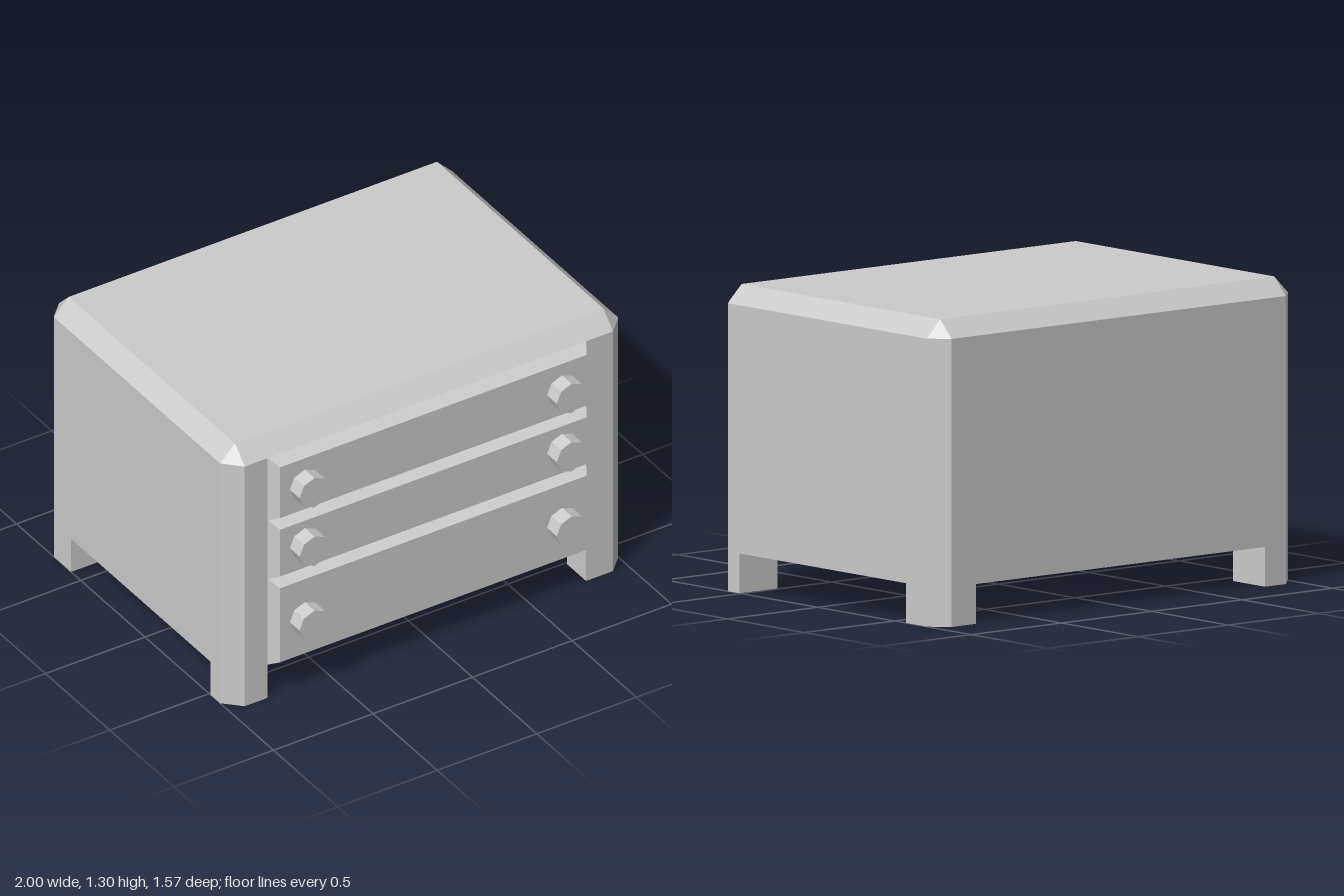
import * as THREE from 'three';
import { ConvexGeometry } from 'three/addons/geometries/ConvexGeometry.js';

const BACK = -0.785, FRONT = 0.66, TOP = 1.305, UNDER = 0.17, BEVEL = 0.075;
const DRAWER_FACE = 0.71, KNOB_FACE = 0.785;

const material = new THREE.MeshStandardMaterial({ color: 0xcccccc, flatShading: true });

function addPart(parent, name, geometry) {
  const mesh = new THREE.Mesh(geometry, material);
  mesh.name = name;
  parent.add(mesh);
  return mesh;
}

// Solid hull from a list of [x, y, z] corners
const solid = (points) => new ConvexGeometry(points.map((p) => new THREE.Vector3(...p)));

// Rectangle corners at a fixed depth z
const rectXY = (x0, x1, y0, y1, z) => [[x0, y0, z], [x1, y0, z], [x1, y1, z], [x0, y1, z]];

// Cabinet box with bevelled upright and top edges
function cabinetGeometry() {
  const points = [];
  for (const sx of [-1, 1]) {
    for (const [z, inward] of [[BACK, 1], [FRONT, -1]]) {
      const x = sx * (1 - BEVEL), zi = z + inward * BEVEL;
      for (const y of [UNDER, TOP - BEVEL]) points.push([x, y, z], [sx, y, zi]);
      points.push([x, TOP, zi]);
    }
  }
  return solid(points);
}

// Short foot following the bevelled cabinet corner
function footGeometry(sx, zOuter, zInner) {
  const xInner = sx < 0 ? -0.81 : 0.79;
  const zBevel = zOuter + Math.sign(zInner - zOuter) * BEVEL;
  const points = [];
  for (const y of [0, UNDER]) {
    points.push([xInner, y, zInner], [sx, y, zInner], [sx, y, zBevel],
      [sx * (1 - BEVEL), y, zOuter], [xInner, y, zOuter]);
  }
  return solid(points);
}

export function createModel() {
  const model = new THREE.Group();
  model.name = 'chestOfDrawers';

  addPart(model, 'cabinet', cabinetGeometry());

  for (const [sx, side] of [[-1, 'Right'], [1, 'Left']]) {
    addPart(model, `front${side}Foot`, footGeometry(sx, FRONT, 0.51));
    addPart(model, `back${side}Foot`, footGeometry(sx, BACK, -0.575));
  }

  // Drawers: outer bottom and top, height of the knobs
  const drawers = [
    ['topDrawer', 0.91, 1.23, 1.067],
    ['middleDrawer', 0.61, 0.91, 0.767],
    ['bottomDrawer', UNDER, 0.61, 0.387],
  ];
  const knob = new THREE.CylinderGeometry(0.075, 0.075, KNOB_FACE - DRAWER_FACE, 8);
  knob.rotateX(Math.PI / 2);
  for (const [name, y0, y1, knobY] of drawers) {
    const drawer = new THREE.Group();
    drawer.name = name;
    const b = 0.03;
    addPart(drawer, 'drawerFront', solid([
      ...rectXY(-0.81, 0.79, y0, y1, FRONT),
      ...rectXY(-0.81 + b, 0.79 - b, y0 + b, y1 - b, DRAWER_FACE),
    ]));
    for (const [x, side] of [[-0.655, 'right'], [0.637, 'left']]) {
      addPart(drawer, `${side}Knob`, knob).position.set(x, knobY, (DRAWER_FACE + KNOB_FACE) / 2);
    }
    model.add(drawer);
  }
  return model;
}
